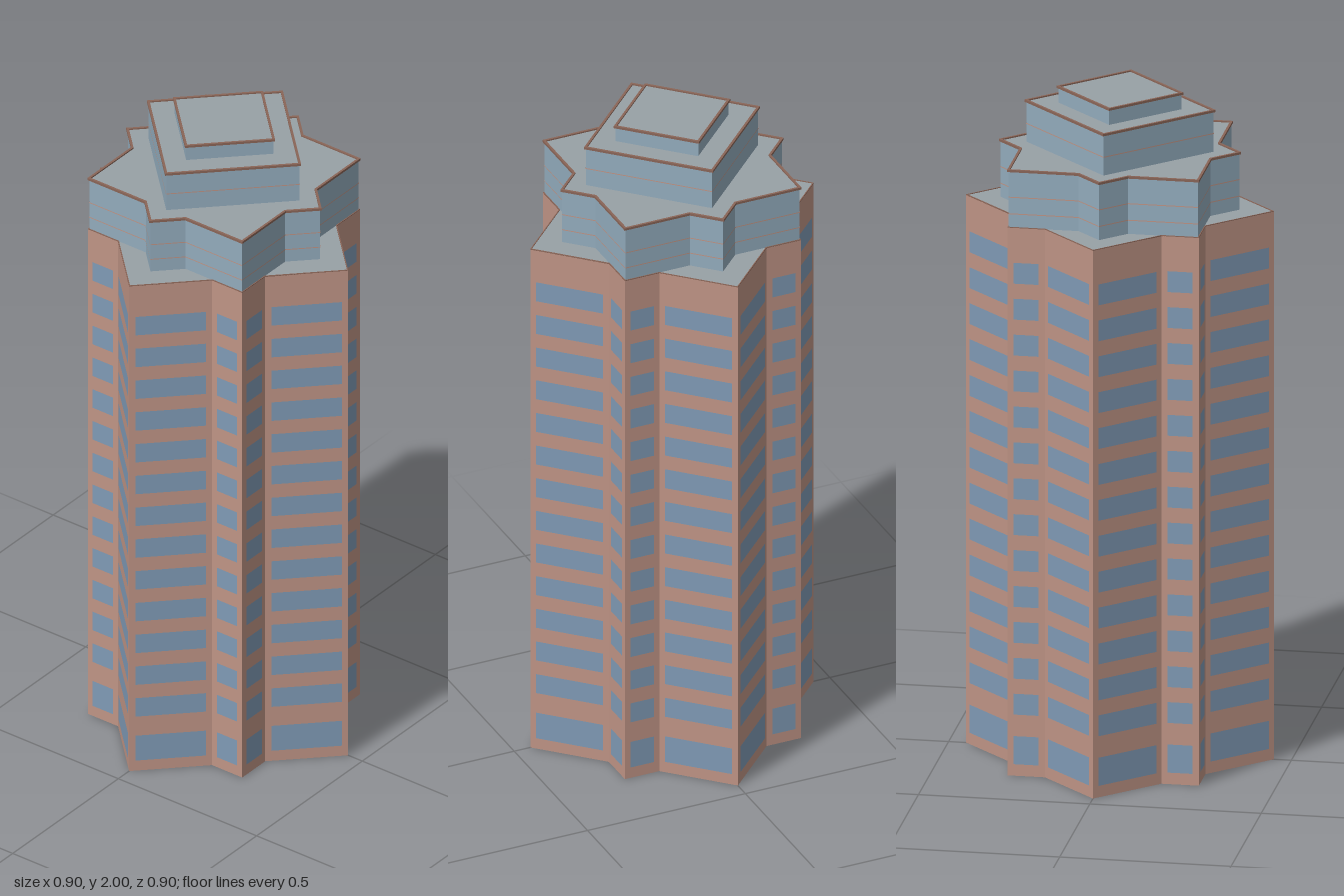
import * as THREE from 'three';
import { mergeGeometries } from 'three/addons/utils/BufferGeometryUtils.js';

const material = (color) => new THREE.MeshStandardMaterial({ color, side: THREE.DoubleSide });

// Repeats the corners [x, z] of one quarter around the vertical axis
function outline(quarter) {
  const points = [];
  let part = quarter;
  for (let i = 0; i < 4; i++) {
    points.push(...part);
    part = part.map(([x, z]) => [z, -x]);
  }
  return points;
}

// Square of half width s crossed with a diamond of radius d; without s, only the diamond.
// grow moves every wall outward by the same distance.
function plan({ s, d }, grow = 0) {
  const r = d + grow * Math.SQRT2;
  if (!s) return outline([[0, r]]);
  const h = s + grow;
  return outline([[0, r], [r - h, h], [h, h], [h, r - h]]);
}

// Upright panels along all edges of an outline
function panels(points, y0, y1, margin = 0, offset = 0) {
  return mergeGeometries(points.map(([ax, az], i) => {
    const [bx, bz] = points[(i + 1) % points.length];
    const length = Math.hypot(bx - ax, bz - az);
    const panel = new THREE.PlaneGeometry(length - 2 * margin, y1 - y0);
    panel.translate(0, 0, offset);
    panel.rotateY(Math.atan2(az - bz, bx - ax));
    return panel.translate((ax + bx) / 2, (y0 + y1) / 2, (az + bz) / 2);
  }));
}

const toVectors = (points) => points.map(([x, z]) => new THREE.Vector2(x, -z));

function roof(points, y) {
  const geometry = new THREE.ShapeGeometry(new THREE.Shape(toVectors(points)));
  return geometry.rotateX(-Math.PI / 2).translate(0, y, 0);
}

// Thin rim around a roof, ending at height top
function rim(size, top, out, inward, height) {
  const shape = new THREE.Shape(toVectors(plan(size, out)));
  shape.holes.push(new THREE.Path(toVectors(plan(size, -inward))));
  const geometry = new THREE.ExtrudeGeometry(shape, { depth: height, bevelEnabled: false });
  return geometry.rotateX(-Math.PI / 2).translate(0, top - height, 0);
}

export function createModel() {
  const model = new THREE.Group();
  const brick = material(0xbf9485);
  const windowGlass = material(0x7f9ab5);
  const tierGlass = material(0x92abbc);
  const roofGrey = material(0x98a1a6);
  const trim = material(0x8a6557);

  const add = (parent, name, geometry, mat) => {
    const mesh = new THREE.Mesh(geometry, mat);
    mesh.name = name;
    parent.add(mesh);
  };

  // Main shaft, open underneath
  const tower = new THREE.Group();
  tower.name = 'tower';
  model.add(tower);
  const shaft = { s: 0.279, d: 0.449 };
  const shaftTop = 1.655;
  const walls = plan(shaft);
  add(tower, 'towerWalls', panels(walls, 0, shaftTop), brick);
  add(tower, 'towerRoof', roof(walls, shaftTop), roofGrey);
  add(tower, 'towerRoofEdge', rim(shaft, shaftTop + 0.002, 0, 0.003, 0.003), trim);

  // Window rows: a tall ground floor and thirteen equal storeys
  const rows = [panels(walls, 0.035, 0.12, 0.018, 0.0012)];
  for (let i = 0; i < 13; i++) {
    const y = 0.185 + i * 0.1085;
    rows.push(panels(walls, y, y + 0.063, 0.018, 0.0012));
  }
  add(tower, 'towerWindows', mergeGeometries(rows), windowGlass);

  // Stepped glass crown
  const tiers = [
    { name: 'lowerTier', size: { s: 0.276, d: 0.348 }, y0: shaftTop, y1: 1.83, bands: [1.695, 1.745] },
    { name: 'middleTier', size: { d: 0.273 }, y0: 1.82, y1: 1.953, bands: [1.88] },
    { name: 'upperTier', size: { d: 0.179 }, y0: 1.943, y1: 2, bands: [] },
  ];
  for (const { name, size, y0, y1, bands } of tiers) {
    const tier = new THREE.Group();
    tier.name = name;
    model.add(tier);
    add(tier, name + 'Walls', panels(plan(size), y0, y1), tierGlass);
    add(tier, name + 'Roof', roof(plan(size), y1 - 0.004), roofGrey);
    add(tier, name + 'Coping', rim(size, y1, 0.004, 0.003, 0.007), trim);
    // Fine floor lines
    for (const y of bands) add(tier, name + 'Band', panels(plan(size), y, y + 0.003, 0, 0.001), brick);
  }
  return model;
}
